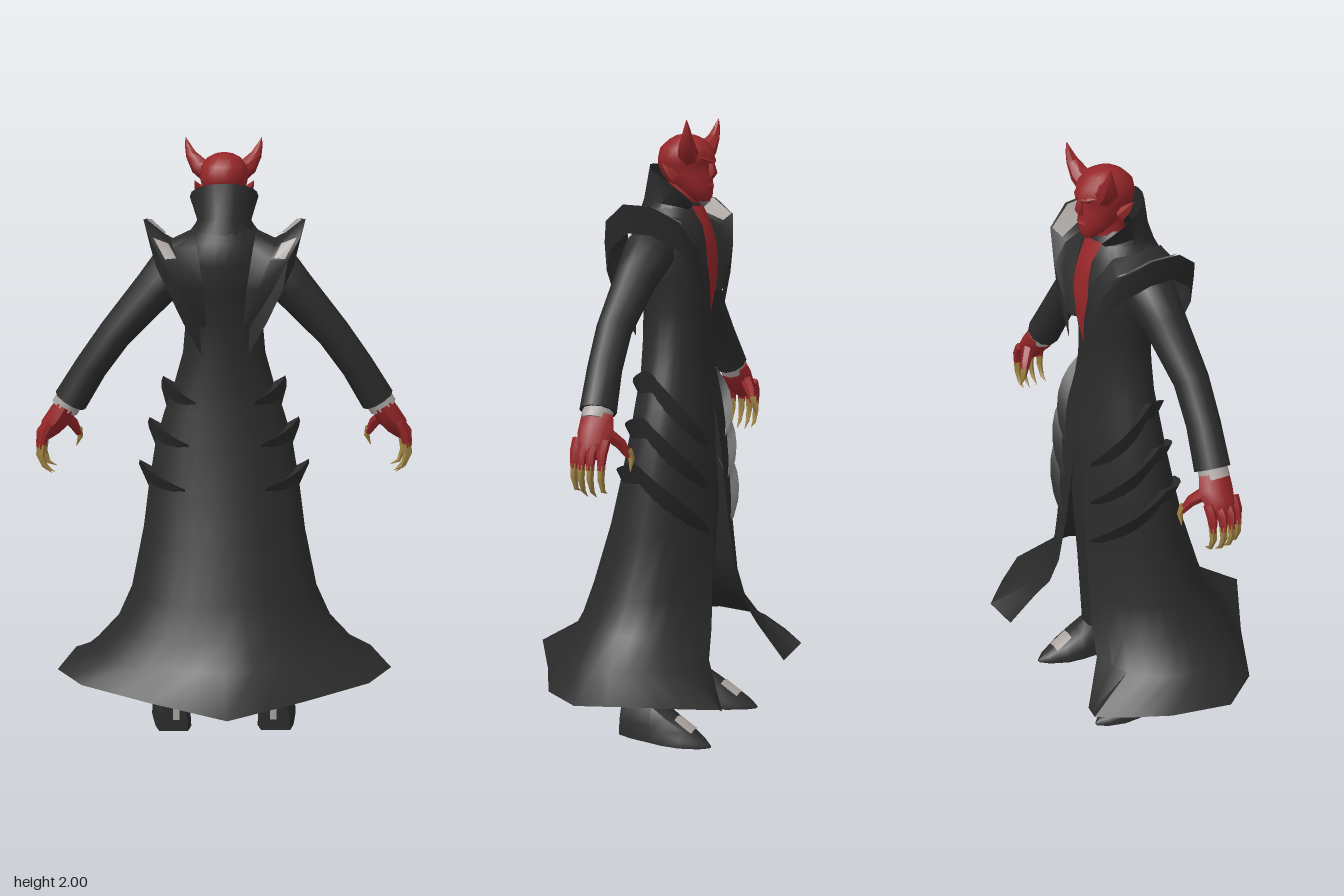
import * as THREE from 'three';
import { toCreasedNormals } from 'three/addons/utils/BufferGeometryUtils.js';

const mat = (name, color) => new THREE.MeshStandardMaterial({ name, color, side: THREE.DoubleSide });
const { lerp } = THREE.MathUtils;

// Skin a surface over a list of rings of [x, y, z] points
function loft(rings, closed = false, caps = false) {
  const n = rings[0].length, idx = [], last = (rings.length - 1) * n;
  for (let i = 0; i < rings.length - 1; i++)
    for (let j = 0; j < (closed ? n : n - 1); j++) {
      const a = i * n + j, b = i * n + (j + 1) % n;
      idx.push(a, b, b + n, a, b + n, a + n);
    }
  if (caps) for (let j = 1; j < n - 1; j++) idx.push(0, j + 1, j, last, last + j, last + j + 1);
  const g = new THREE.BufferGeometry();
  g.setAttribute('position', new THREE.Float32BufferAttribute(rings.flat(2), 3));
  g.setIndex(idx);
  return toCreasedNormals(g, 0.85);
}

// Tapered limb through [x, y, z, radius] points
function limb(pts, sides = 8, flat = 1) {
  const v = pts.map(p => new THREE.Vector3(p[0], p[1], p[2]));
  const rings = pts.map((p, i) => {
    const t = v[Math.min(i + 1, v.length - 1)].clone().sub(v[Math.max(i - 1, 0)]).normalize();
    const n1 = t.clone().cross(new THREE.Vector3(0, 0, 1)).normalize();
    const n2 = t.clone().cross(n1);
    return Array.from({ length: sides }, (_, k) => {
      const a = k / sides * Math.PI * 2;
      return v[i].clone().addScaledVector(n1, Math.cos(a) * p[3])
        .addScaledVector(n2, Math.sin(a) * p[3] * flat).toArray();
    });
  });
  return loft(rings, true, true);
}

// Coat sections: y, half width, back z, front z, half slit
const COAT = [
  [0.2, 0.55, 0.4, -0.4, 0.27], [0.3, 0.43, 0.21, -0.325, 0.19], [0.39, 0.365, 0.185, -0.315, 0.14],
  [0.5, 0.315, 0.15, -0.29, 0.1], [0.7, 0.275, 0.09, -0.27, 0.06], [0.85, 0.255, 0.055, -0.26, 0.04],
  [1.0, 0.23, 0.025, -0.25, 0.015], [1.1, 0.2, 0.012, -0.238, 0], [1.2, 0.165, 0, -0.222, 0],
  [1.3, 0.137, 0, -0.215, 0], [1.4, 0.128, 0, -0.215, 0], [1.5, 0.142, 0.02, -0.228, 0],
  [1.6, 0.16, 0.045, -0.225, 0], [1.67, 0.14, 0.035, -0.205, 0], [1.72, 0.1, 0.01, -0.185, 0],
  [1.76, 0.06, -0.04, -0.16, 0],
];
// Half outline of the hem, from the back point to the front corner
const HEM = [[0, 0.2, 0.41], [0.25, 0.2, 0.25], [0.48, 0.215, 0.12], [0.57, 0.22, -0.02],
  [0.52, 0.23, -0.22], [0.44, 0.215, -0.33], [0.36, 0.2, -0.42], [0.27, 0.16, -0.39]];

const oval = (y, w, b, f, a) => [Math.sin(a) * w, y, (b + f) / 2 + Math.cos(a) * (b - f) / 2];

function coatRow(y) {
  let i = 0;
  while (i < COAT.length - 2 && COAT[i + 1][0] < y) i++;
  const t = (y - COAT[i][0]) / (COAT[i + 1][0] - COAT[i][0]);
  return COAT[i].map((v, k) => lerp(v, COAT[i + 1][k], t));
}

function coatRing([y, w, b, f, s], i) {
  const N = 14, end = Math.PI - Math.asin(s / w), blend = i === 0 ? 1 : i === 1 ? 0.2 : 0;
  const ring = [];
  for (let j = -N; j <= N; j++) {
    const p = oval(y, w, b, f, j / N * end);
    const h = Math.abs(j) / 2, k = Math.min(Math.floor(h), 6);
    const q = HEM[k].map((v, c) => lerp(v, HEM[k + 1][c], h - k));
    if (j < 0) q[0] *= -1;
    ring.push([lerp(p[0], q[0], blend), i === 0 ? q[1] : p[1], lerp(p[2], q[2], blend)]);
  }
  return ring;
}

// Curved blade that wraps one side of the coat, falling towards the opening
function fin(peak) {
  const rings = [];
  for (let i = 0; i <= 12; i++) {
    const t = i / 12, a = lerp(0.55, 2.8, t);
    const size = Math.pow(Math.sin(Math.PI * lerp(0.02, 0.97, t)), 0.6);
    const y = peak - 0.03 - (t < 0.4 ? 0.05 * (1 - t / 0.4) : 0.22 * Math.pow((t - 0.4) / 0.6, 1.2));
    const at = (dy, out) => {
      const [yy, w, b, f] = coatRow(y + dy);
      return oval(yy, w + out, b + out, f - out, a);
    };
    rings.push([at(-0.05 * size, -0.004), at(0.03 * size, 0.046 * size), at(0.005 * size, -0.004)]);
  }
  return loft(rings, true, true);
}

export function createModel() {
  const black = mat('coat black', 0x2b2b2b), red = mat('skin red', 0x962629);
  const gold = mat('claw gold', 0xa08443), grey = mat('lining grey', 0xa9a39f);
  const model = new THREE.Group();
  const add = (parent, name, geo, m) => {
    const mesh = new THREE.Mesh(geo, m);
    mesh.name = name;
    parent.add(mesh);
    return mesh;
  };

  // Coat and standing collar
  add(model, 'coat', loft(COAT.map(coatRing)), black);
  const collarRows = [[1.67, 0.13, 0.03, -0.2, 0], [1.75, 0.088, 0.005, -0.19, 0.03], [1.86, 0.112, -0.02, -0.21, 0.12]];
  add(model, 'collar', loft(collarRows.map(([y, w, b, f, drop]) =>
    Array.from({ length: 17 }, (_, j) => {
      const t = j / 8 - 1;
      return oval(y - drop * t * t, w, b, f, t * 2.5);
    }))), black);

  // Bare chest in the neckline
  add(model, 'chest', loft([[1.39, 0.002], [1.48, 0.024], [1.56, 0.044], [1.62, 0.04], [1.67, 0.036], [1.73, 0.045]].map(([y, h]) => {
    const [, w, b, f] = coatRow(y);
    return [1, 0.5, 0, -0.5, -1].map(k => oval(y, w, b, f - 0.008, Math.PI - Math.asin(h * k / w)));
  })), red);
  add(model, 'neck', limb([[0, 1.66, -0.11, 0.06], [0, 1.74, -0.125, 0.05], [0, 1.83, -0.13, 0.052]], 10), red);

  // Head: y, half width, back z, front z
  const headRows = [[1.745, 0.02, -0.17, -0.215], [1.76, 0.037, -0.14, -0.224], [1.79, 0.055, -0.09, -0.226],
    [1.83, 0.068, -0.055, -0.222], [1.86, 0.076, -0.044, -0.217], [1.875, 0.079, -0.042, -0.23],
    [1.91, 0.075, -0.05, -0.222], [1.938, 0.054, -0.08, -0.195], [1.951, 0.028, -0.105, -0.165], [1.955, 0.004, -0.13, -0.138]];
  add(model, 'head', loft(headRows.map(([y, w, b, f]) =>
    Array.from({ length: 16 }, (_, j) => oval(y, w, b, f, j / 8 * Math.PI))), true, true), red);
  add(model, 'nose', limb([[0, 1.872, -0.222, 0.008], [0, 1.835, -0.228, 0.014], [0, 1.823, -0.22, 0.012]], 5), red);
  add(model, 'mouth', limb([[-0.022, 1.793, -0.216, 0.006], [0, 1.795, -0.225, 0.008], [0.022, 1.793, -0.216, 0.006]], 5), red);

  for (const side of [1, -1]) {
    const half = new THREE.Group();
    half.name = side > 0 ? 'leftSide' : 'rightSide';
    half.scale.x = side;
    model.add(half);

    // Horn, ear and brow
    add(half, 'horn', limb([[0.045, 1.885, -0.165, 0.036], [0.082, 1.91, -0.175, 0.031],
      [0.107, 1.945, -0.185, 0.019], [0.118, 1.975, -0.19, 0.01], [0.125, 2, -0.192, 0.001]], 7), red);
    add(half, 'ear', limb([[0.068, 1.82, -0.125, 0.02], [0.083, 1.84, -0.11, 0.015], [0.096, 1.865, -0.095, 0.001]], 5), red);
    add(half, 'brow', limb([[0.006, 1.868, -0.228, 0.006], [0.035, 1.876, -0.214, 0.008], [0.062, 1.89, -0.185, 0.004]], 5), red);

    // Shoulder wing: inner, middle and outer edge from back to front
    const wing = [
      [[0.06, 1.4, 0.002], [0.07, 1.4, 0.006], [0.08, 1.4, 0.004]],
      [[0.07, 1.53, 0.03], [0.105, 1.525, 0.045], [0.145, 1.51, 0.045]],
      [[0.09, 1.66, 0.03], [0.145, 1.625, 0.055], [0.2, 1.62, 0.055]],
      [[0.1, 1.7, 0], [0.165, 1.66, 0.02], [0.24, 1.69, 0.03]],
      [[0.1, 1.71, -0.05], [0.175, 1.675, -0.05], [0.262, 1.745, -0.04]],
      [[0.1, 1.71, -0.11], [0.175, 1.675, -0.11], [0.25, 1.74, -0.13]],
      [[0.09, 1.69, -0.17], [0.15, 1.66, -0.19], [0.21, 1.69, -0.21]],
      [[0.06, 1.62, -0.21], [0.1, 1.6, -0.23], [0.14, 1.6, -0.24]],
      [[0.03, 1.46, -0.224], [0.05, 1.46, -0.235], [0.07, 1.46, -0.235]],
    ];
    add(half, 'shoulderWing', loft(wing), black);
    // Underside of the wing, meeting the sleeve
    add(half, 'wingUnderside', loft(wing.map(([, m, o]) => [o, [lerp(m[0], o[0], 0.75), o[1] - 0.09, lerp(m[2], o[2], 0.6)]])), black);
    // Pale lining patches inside the wing
    const lining = (from, to) => wing.slice(from, to).map(([, m, o]) =>
      [0.25, 0.9].map(t => m.map((v, k) => lerp(v, o[k], t) + [-0.003, 0.006, 0][k])));
    add(half, 'backLining', loft(lining(2, 4)), grey);
    add(half, 'frontLining', loft(lining(4, 7)), grey);

    // Sleeve, cuff and hand
    add(half, 'sleeve', limb([[0.11, 1.61, -0.085, 0.075], [0.165, 1.585, -0.08, 0.082], [0.23, 1.515, -0.07, 0.069],
      [0.36, 1.37, -0.058, 0.056], [0.44, 1.26, -0.066, 0.054], [0.512, 1.143, -0.08, 0.057]], 10), black);
    add(half, 'cuff', limb([[0.505, 1.16, -0.08, 0.047], [0.532, 1.118, -0.083, 0.047]], 10), grey);
    add(half, 'palm', limb([[0.525, 1.13, -0.083, 0.038], [0.548, 1.09, -0.09, 0.042], [0.582, 1.05, -0.095, 0.036],
      [0.6, 1.02, -0.095, 0.02]], 8, 1.4), red);
    for (let i = 0; i < 4; i++) {
      const z = -0.048 - i * 0.03, d = Math.abs(i - 1.5) * 0.012;
      add(half, 'finger', limb([[0.58, 1.07, z, 0.017], [0.618 - d, 1.035, z, 0.016], [0.626 - d, 0.985, z, 0.011]], 6), red);
      add(half, 'claw', limb([[0.623 - d, 1.0, z, 0.013], [0.627 - d, 0.96, z, 0.011], [0.612 - d, 0.92, z, 0.007],
        [0.585 - d, 0.89 + d, z, 0.001]], 5), gold);
    }
    add(half, 'thumb', limb([[0.545, 1.09, -0.12, 0.022], [0.51, 1.05, -0.155, 0.018], [0.492, 1.01, -0.175, 0.011]], 6), red);
    add(half, 'thumbClaw', limb([[0.495, 1.03, -0.172, 0.014], [0.489, 1.0, -0.18, 0.01], [0.503, 0.965, -0.183, 0.001]], 5), gold);

    // Three tiers of blades on the coat
    for (const y of [1.225, 1.085, 0.94]) add(half, 'coatBlade', fin(y), black);

    // Trouser leg and pointed shoe
    add(half, 'trouserLeg', limb([[0.075, 1.02, -0.11, 0.085], [0.11, 0.75, -0.12, 0.085], [0.145, 0.45, -0.1, 0.07],
      [0.17, 0.13, -0.075, 0.068]], 10), black);
    // Shoe sections: z, centre x, half width, top y
    const shoe = [[-0.002, 0.175, 0.05, 0.12], [-0.05, 0.177, 0.062, 0.14], [-0.12, 0.183, 0.065, 0.135],
      [-0.17, 0.188, 0.066, 0.1], [-0.23, 0.193, 0.058, 0.062], [-0.29, 0.198, 0.032, 0.028], [-0.32, 0.2, 0.006, 0.008]];
    add(half, 'shoe', loft(shoe.map(([z, x, w, h]) =>
      [[-1, 0], [1, 0], [0.95, 0.4], [0.62, 0.85], [0, 1], [-0.62, 0.85], [-0.95, 0.4]]
        .map(([u, v]) => [x + u * w, v * h, z])), true, true), black);
    add(half, 'toePatch', loft([[-0.2, 0.085], [-0.23, 0.066], [-0.26, 0.049]].map(([z, y]) =>
      [[0.165, y - 0.005, z], [0.192, y + 0.001, z], [0.218, y - 0.005, z]])), grey);
    add(half, 'heelPatch', loft([[[0.155, 0.04, 0.001], [0.178, 0.04, 0.001]], [[0.155, 0.09, 0.001], [0.178, 0.09, 0.001]]]), grey);
  }
  return model;
}
